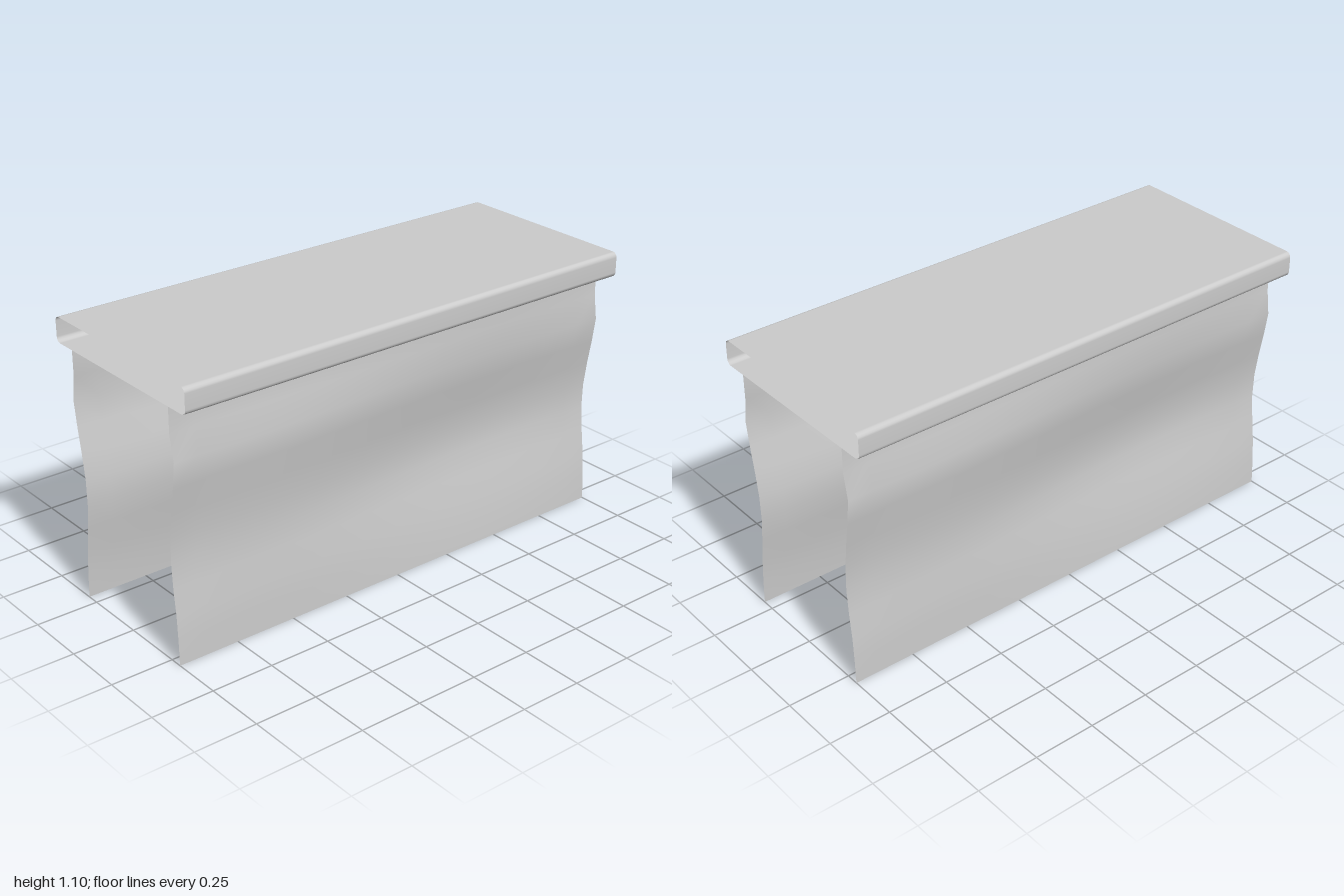
import * as THREE from 'three';

const material = new THREE.MeshStandardMaterial({ color: 0xcccccc, side: THREE.DoubleSide });

// Hollow box section with softly rounded long edges, open at both ends
function topShell() {
  const hz = 0.4, y0 = 1, y1 = 1.1, r = 0.02, steps = 4;
  const corners = [[hz - r, y0 + r, -90], [hz - r, y1 - r, 0], [-hz + r, y1 - r, 90], [-hz + r, y0 + r, 180]];
  const positions = [], index = [];
  for (const [cz, cy, start] of corners) {
    for (let i = 0; i <= steps; i++) {
      const a = THREE.MathUtils.degToRad(start + (90 * i) / steps);
      const z = cz + r * Math.cos(a), y = cy + r * Math.sin(a);
      positions.push(-1, y, z, 1, y, z);
    }
  }
  const n = corners.length * (steps + 1);
  for (let i = 0; i < n; i++) {
    const a = 2 * i, b = 2 * ((i + 1) % n);
    index.push(a, a + 1, b + 1, a, b + 1, b);
  }
  const geometry = new THREE.BufferGeometry();
  geometry.setAttribute('position', new THREE.Float32BufferAttribute(positions, 3));
  geometry.setIndex(index);
  geometry.computeVertexNormals();
  return geometry;
}

// Hanging cloth: each row sways between an outer and an inner depth along x
function clothPanel() {
  const outer = [0.3, 0.298, 0.295, 0.284, 0.28, 0.285, 0.297, 0.312, 0.324, 0.3, 0.3];
  const inner = [0.3, 0.294, 0.281, 0.266, 0.25, 0.25, 0.266, 0.287, 0.304, 0.3, 0.3];
  const geometry = new THREE.PlaneGeometry(2, 1, 20, 10).translate(0, 0.5, 0);
  const p = geometry.attributes.position;
  for (let i = 0; i < p.count; i++) {
    const row = Math.round(p.getY(i) * 10);
    const sway = 0.5 + 0.5 * Math.sin((Math.PI * (p.getX(i) + 0.1)) / 1.1);
    p.setZ(i, THREE.MathUtils.lerp(outer[row], inner[row], sway));
  }
  geometry.computeVertexNormals();
  return geometry;
}

export function createModel() {
  const group = new THREE.Group();
  group.name = 'drapedCanopy';

  const shell = new THREE.Mesh(topShell(), material);
  shell.name = 'topShell';
  group.add(shell);

  // The back cloth is the front one turned half round
  const cloth = clothPanel();
  ['frontCloth', 'backCloth'].forEach((name, i) => {
    const mesh = new THREE.Mesh(cloth, material);
    mesh.name = name;
    mesh.rotation.y = i * Math.PI;
    group.add(mesh);
  });
  return group;
}
